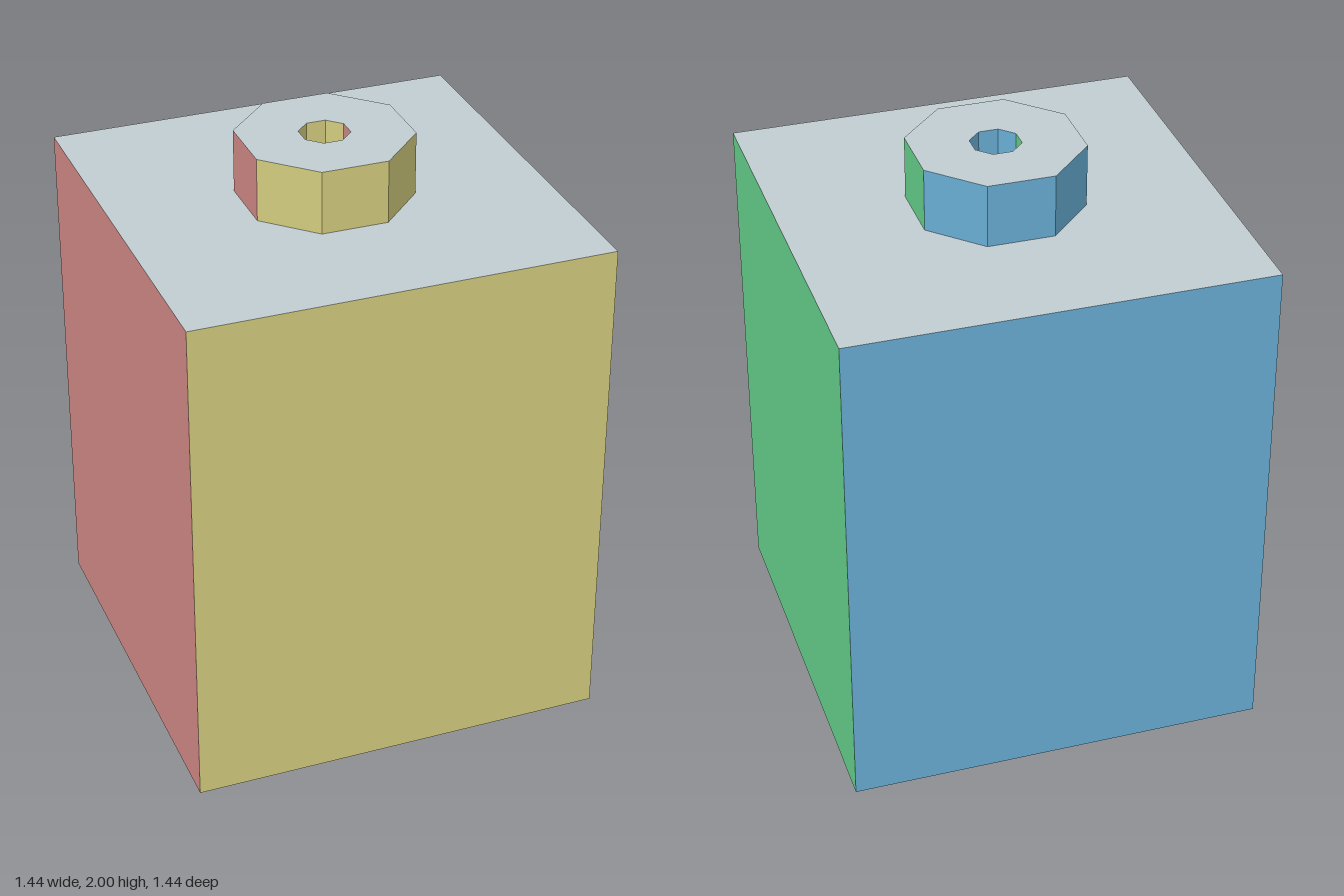
import * as THREE from 'three';

const paint = (name, color) => {
  const m = new THREE.MeshStandardMaterial({ color });
  m.name = name;
  return m;
};

// Order: +x, -x, +y, -y, +z, -z
const materials = [
  paint('green', 0x67d58d),
  paint('dustyRed', 0xd38b88),
  paint('paleGrey', 0xc1cdd2),
  paint('slate', 0x696f83),
  paint('sand', 0xd3cc7e),
  paint('blue', 0x68add3),
];

// Colour each triangle by the direction it faces; diagonals take the z colour
function colourByDirection(source) {
  const geometry = source.index ? source.toNonIndexed() : source;
  geometry.computeVertexNormals();
  geometry.clearGroups();
  const n = geometry.attributes.normal;
  for (let i = 0; i < n.count; i += 3) {
    const x = n.getX(i), y = n.getY(i), z = n.getZ(i);
    let side;
    if (Math.abs(y) > 0.5) side = y > 0 ? 2 : 3;
    else if (Math.abs(z) > Math.abs(x) - 0.01) side = z > 0 ? 4 : 5;
    else side = x > 0 ? 0 : 1;
    geometry.addGroup(i, 3, side);
  }
  return geometry;
}

// Regular octagon with flat sides at distance r from the centre
function octagon(r, PathType) {
  const radius = r / Math.cos(Math.PI / 8);
  const points = [];
  for (let i = 0; i < 8; i++) {
    const a = Math.PI / 8 + (i * Math.PI) / 4;
    points.push(new THREE.Vector2(radius * Math.cos(a), radius * Math.sin(a)));
  }
  return new PathType(points);
}

export function createModel() {
  const model = new THREE.Group();
  const bodyHeight = 1.78;

  // Square body
  const bodyGeometry = new THREE.BoxGeometry(1.443, bodyHeight, 1.443);
  bodyGeometry.translate(0, bodyHeight / 2, 0);
  const body = new THREE.Mesh(colourByDirection(bodyGeometry), materials);
  body.name = 'body';
  model.add(body);

  // Eight-sided neck with an eight-sided hole down to the body
  const outline = octagon(0.277, THREE.Shape);
  outline.holes.push(octagon(0.08, THREE.Path));
  const neckGeometry = new THREE.ExtrudeGeometry(outline, { depth: 2 - bodyHeight, bevelEnabled: false });
  neckGeometry.rotateX(-Math.PI / 2).translate(0, bodyHeight, 0);
  const neck = new THREE.Mesh(colourByDirection(neckGeometry), materials);
  neck.name = 'neck';
  model.add(neck);

  return model;
}
